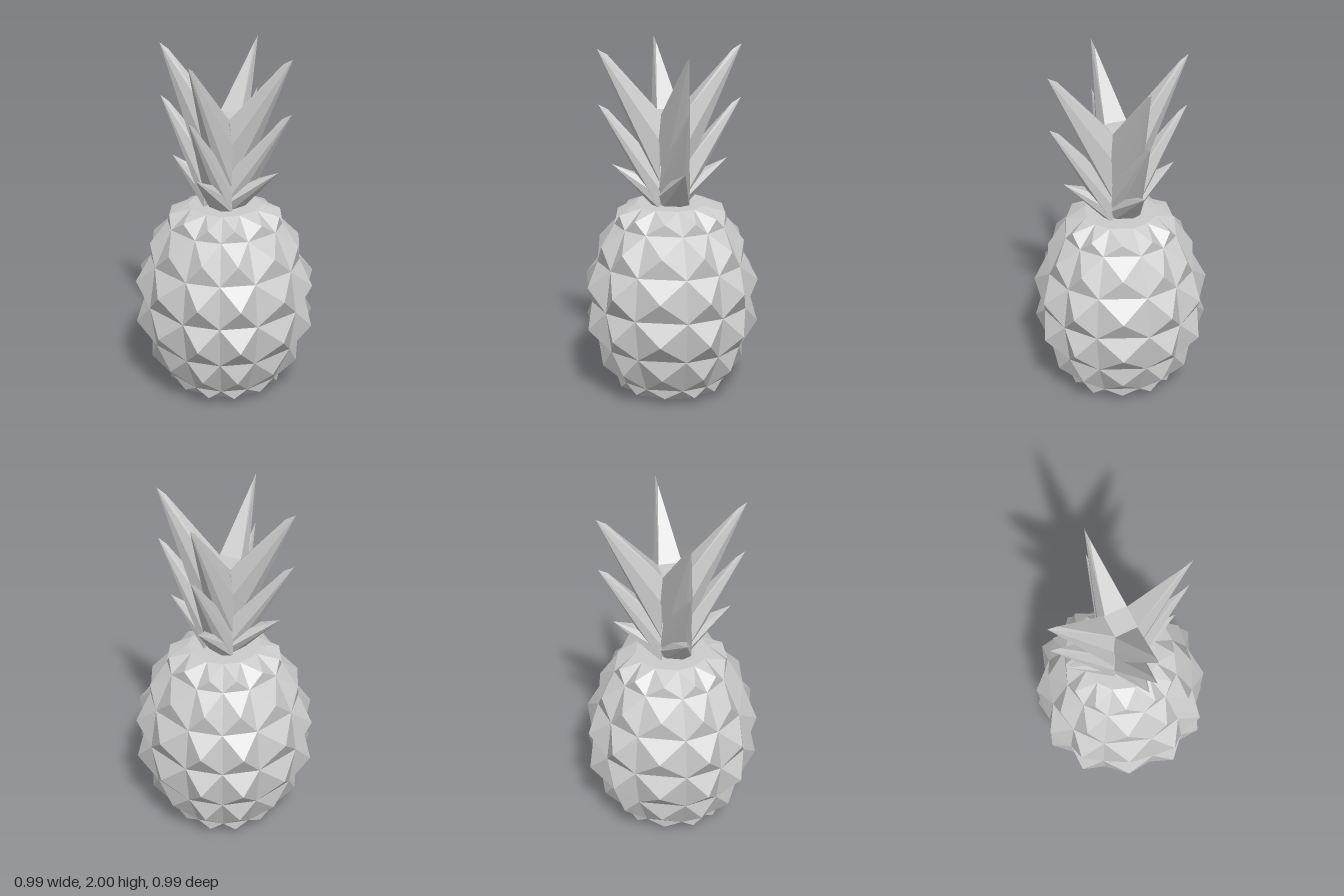
import * as THREE from 'three';
import { ConvexGeometry } from 'three/addons/geometries/ConvexGeometry.js';

const material = new THREE.MeshStandardMaterial({ color: 0xcccccc, flatShading: true });

function addMesh(parent, name, geometry) {
  const mesh = new THREE.Mesh(geometry, material);
  mesh.name = name;
  parent.add(mesh);
  return mesh;
}

// Twelve columns, three per side of the fruit: a wide one and two narrower ones
const corner = Math.atan(1 / 3);
const angles = [];
for (let side = 0; side < 4; side++) {
  for (const a of [-corner, corner, Math.PI / 4]) angles.push(side * Math.PI / 2 + a);
}
const polar = (a, r, y) => new THREE.Vector3(Math.sin(a) * r, y, Math.cos(a) * r);

// Fruit: rings of quads, each raised into a four-sided spike
function fruitGeometry() {
  const rings = [[0, 0.205], [0.1, 0.325], [0.315, 0.425], [0.555, 0.46], [0.795, 0.425], [1.01, 0.325], [1.12, 0.205]];
  const spikes = [[0.045, 0.305], [0.2, 0.412], [0.43, 0.495], [0.68, 0.495], [0.91, 0.412], [1.075, 0.305]];
  const points = [];
  for (let i = 0; i < 12; i++) {
    const a = angles[i];
    const b = i < 11 ? angles[i + 1] : angles[0] + Math.PI * 2;
    const stretch = i % 3 === 0 ? 1 : 1.04;
    spikes.forEach(([y, r], row) => {
      const [y0, r0] = rings[row];
      const [y1, r1] = rings[row + 1];
      const quad = [polar(a, r0, y0), polar(b, r0, y0), polar(b, r1, y1), polar(a, r1, y1)];
      const apex = polar((a + b) / 2, r * stretch, y);
      quad.forEach((p, k) => points.push(p, quad[(k + 1) % 4], apex));
    });
    // Flat top and bottom
    const [yt, rt] = rings[6];
    const [yb, rb] = rings[0];
    points.push(polar(0, 0, yt), polar(a, rt, yt), polar(b, rt, yt));
    points.push(polar(0, 0, yb), polar(b, rb, yb), polar(a, rb, yb));
  }
  const geometry = new THREE.BufferGeometry().setFromPoints(points);
  geometry.computeVertexNormals();
  return geometry;
}

// Leaf: faceted spike leaning out and to one side, given its tip and base heights
function leafGeometry({ tip, reach, sway, top, shoulder, bottom }) {
  return new ConvexGeometry([
    [sway, tip, reach], [sway * 0.85, tip - 0.03, reach * 0.87],
    [-0.04, top, 0.085], [0.04, top, 0.085], [0.08, top, 0.04],
    [-0.05, shoulder, 0.115], [0.115, shoulder, 0.045],
    [-0.03, bottom, 0.085], [0.07, bottom, 0.085], [0.112, bottom, 0.045],
  ].map((p) => new THREE.Vector3(...p)));
}

export function createModel() {
  const model = new THREE.Group();
  model.name = 'pineapple';
  addMesh(model, 'fruit', fruitGeometry());

  const crown = new THREE.Group();
  crown.name = 'crown';
  crown.position.set(-0.005, 0, 0.003);
  model.add(crown);

  // Stem in the middle of the leaves
  const stem = addMesh(crown, 'stem', new THREE.CylinderGeometry(0.094, 0.094, 0.54, 8));
  stem.position.y = 1.37;
  stem.rotation.y = Math.PI / 8;

  // Three tiers of four leaves, turned like a pinwheel
  const tiers = [
    { name: 'lowerLeaf', tip: 1.36, reach: 0.31, sway: 0.12, top: 1.24, shoulder: 1.18, bottom: 1.11 },
    { name: 'middleLeaf', tip: 1.7, reach: 0.378, sway: 0.145, top: 1.34, shoulder: 1.22, bottom: 1.11 },
    { name: 'upperLeaf', tip: 2.0, reach: 0.378, sway: 0.145, top: 1.64, shoulder: 1.5, bottom: 1.27 },
  ];
  for (const tier of tiers) {
    const geometry = leafGeometry(tier);
    for (let i = 0; i < 4; i++) {
      addMesh(crown, tier.name, geometry).rotation.y = i * Math.PI / 2;
    }
  }
  return model;
}
